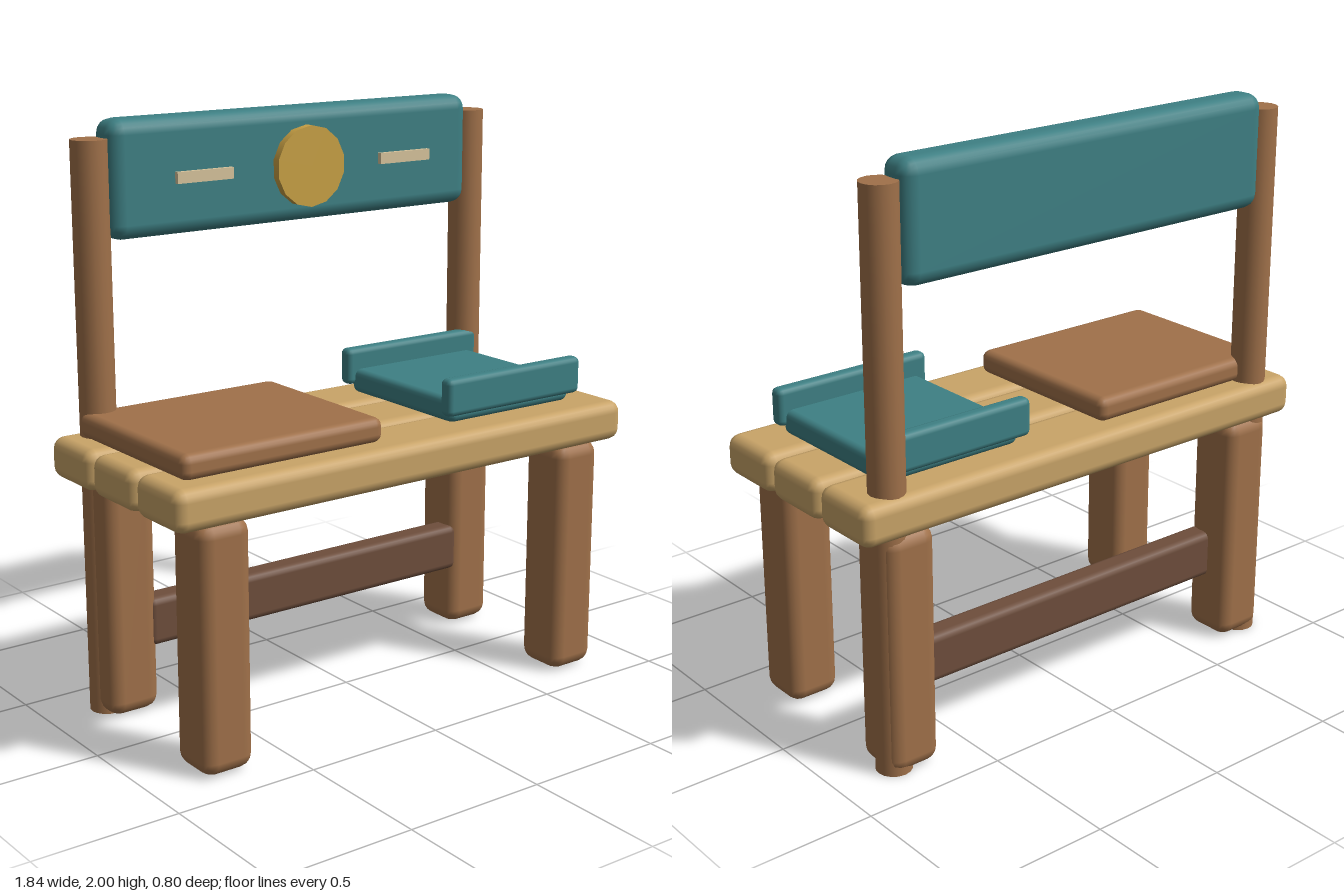
import * as THREE from 'three';
import { RoundedBoxGeometry } from 'three/addons/geometries/RoundedBoxGeometry.js';

const paint = (name, color) => {
  const m = new THREE.MeshStandardMaterial({ color });
  m.name = name;
  return m;
};

export function createModel() {
  const bench = new THREE.Group();
  bench.name = 'bench';

  const paleWood = paint('pale wood', 0xc9a468);
  const brown = paint('brown wood', 0xa0714a);
  const darkWood = paint('dark wood', 0x6e4e3c);
  const teal = paint('teal', 0x3e8084);
  const gold = paint('gold', 0xc9a145);
  const cream = paint('cream', 0xd8c49c);

  const add = (name, geometry, material, x, y, z) => {
    const mesh = new THREE.Mesh(geometry, material);
    mesh.name = name;
    mesh.position.set(x, y, z);
    bench.add(mesh);
    return mesh;
  };
  // Rounded block given by its extents on each axis
  const block = (name, material, [x0, x1], [y0, y1], [z0, z1], r) =>
    add(name, new RoundedBoxGeometry(x1 - x0, y1 - y0, z1 - z0, 2, r), material,
      (x0 + x1) / 2, (y0 + y1) / 2, (z0 + z1) / 2);

  // Seat planks
  for (const z of [-0.27, 0, 0.27]) {
    block('seatPlank', paleWood, [-0.92, 0.92], [0.83, 0.97], [z - 0.129, z + 0.129], 0.04);
  }

  // Legs and back posts
  for (const side of [-1, 1]) {
    const x = side * 0.733;
    block('frontLeg', brown, [x - 0.095, x + 0.095], [0.005, 0.84], [0.195, 0.385], 0.048);
    block('backLeg', brown, [x - 0.095, x + 0.095], [0.005, 0.84], [-0.385, -0.195], 0.048);
    add('backPost', new THREE.CylinderGeometry(0.061, 0.061, 1.94, 16), brown, side * 0.78, 0.97, -0.317);
  }

  // Stretcher between the back legs
  block('stretcher', darkWood, [-0.67, 0.67], [0.228, 0.398], [-0.295, -0.2], 0.025);

  // Backrest with its medallion and inlays, which sit just ahead of it
  block('backrest', teal, [-0.735, 0.735], [1.61, 2], [-0.385, -0.25], 0.05);
  add('medallion', new THREE.CylinderGeometry(0.138, 0.138, 0.03, 14), gold, 0, 1.805, -0.209)
    .rotation.x = Math.PI / 2;
  for (const side of [-1, 1]) {
    add('inlay', new THREE.BoxGeometry(0.216, 0.038, 0.016), cream, side * 0.412, 1.806, -0.215);
  }

  // Flat brown cushion
  block('cushion', brown, [-0.85, -0.085], [0.97, 1.055], [-0.325, 0.325], 0.03);

  // Teal tray with a raised lip at each end
  block('tray', teal, [0.23, 0.77], [0.97, 1.055], [-0.28, 0.28], 0.025);
  for (const z of [-0.281, 0.281]) {
    block('trayLip', teal, [0.2, 0.795], [1.0, 1.13], [z - 0.027, z + 0.027], 0.02);
  }

  return bench;
}
